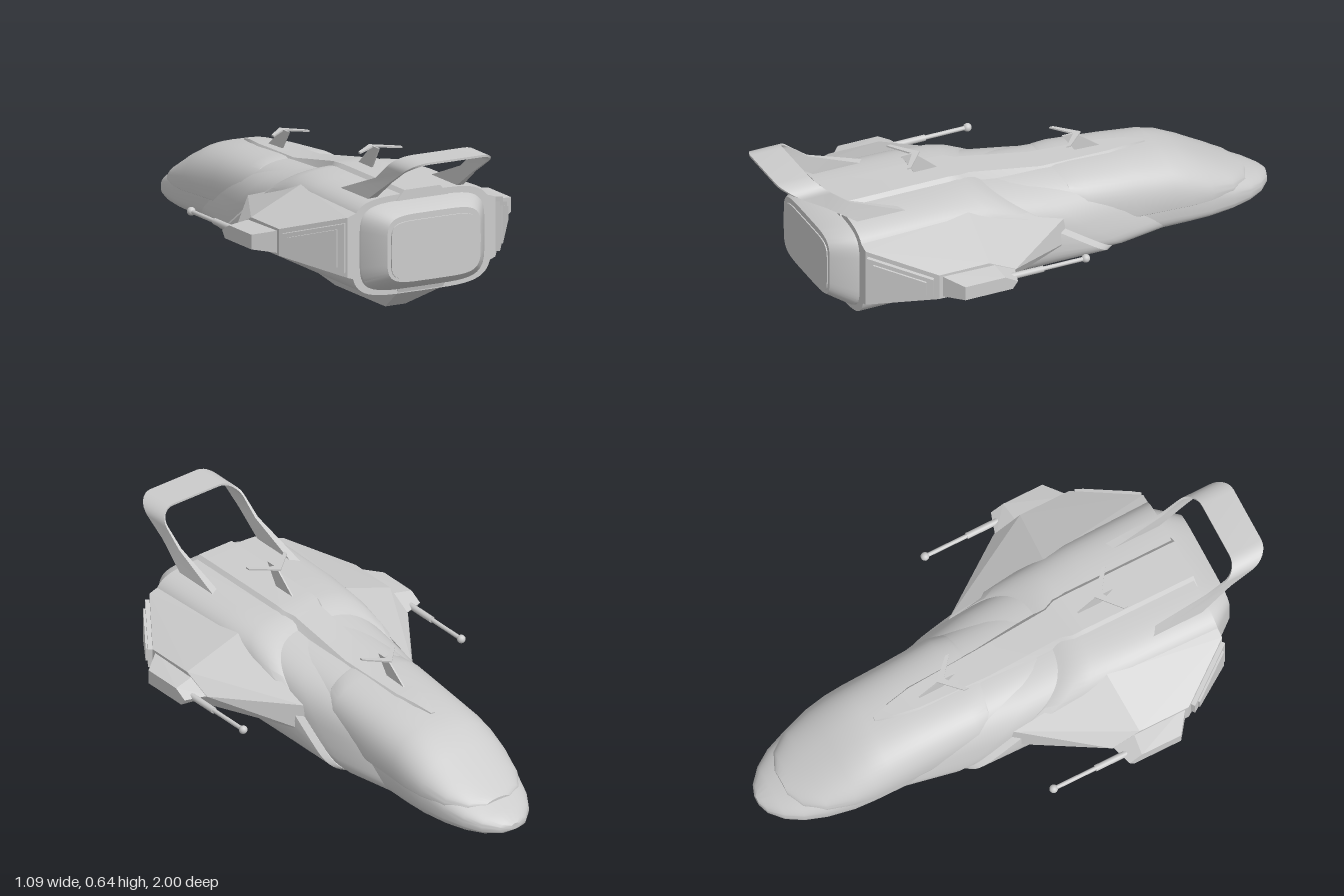
import * as THREE from 'three';
import { toCreasedNormals } from 'three/addons/utils/BufferGeometryUtils.js';
import { ConvexGeometry } from 'three/addons/geometries/ConvexGeometry.js';

const V = (x, y, z) => new THREE.Vector3(x, y, z);
const material = new THREE.MeshStandardMaterial({ color: 0xcccccc });

function add(parent, name, geometry) {
  const mesh = new THREE.Mesh(geometry, material);
  mesh.name = name;
  parent.add(mesh);
  return mesh;
}

// Skin a row of closed rings (counter-clockwise when seen from the far end) and cap both ends
function loft(rings, crease = 0.5) {
  const pos = [];
  const tri = (...pts) => pts.forEach((p) => pos.push(p.x, p.y, p.z));
  const centre = (r) => r.reduce((s, p) => s.add(p), V(0, 0, 0)).divideScalar(r.length);
  const n = rings[0].length, first = rings[0], last = rings[rings.length - 1];
  const c0 = centre(first), c1 = centre(last);
  for (let j = 0; j < n; j++) {
    const k = (j + 1) % n;
    for (let i = 0; i < rings.length - 1; i++) {
      const a = rings[i][j], b = rings[i][k], c = rings[i + 1][k], d = rings[i + 1][j];
      tri(a, b, c);
      tri(a, c, d);
    }
    tri(c0, first[k], first[j]);
    tri(c1, last[j], last[k]);
  }
  const g = new THREE.BufferGeometry();
  g.setAttribute('position', new THREE.Float32BufferAttribute(pos, 3));
  return toCreasedNormals(g, crease);
}

// Rounded section: half width, bottom, top, widest height, squareness above and below, sweep of z with height
function section([z, hw, yb, yt, yc, nu = 4, nl = 4, sweep = 0]) {
  const pts = [], N = 56;
  for (let i = 0; i < N; i++) {
    const a = (i / N) * Math.PI * 2, c = Math.cos(a), s = Math.sin(a);
    const e = 2 / (s >= 0 ? nu : nl);
    const x = hw * Math.sign(c) * Math.abs(c) ** e;
    const y = yc + (s >= 0 ? yt - yc : yb - yc) * Math.abs(s) ** e;
    pts.push(V(x, y, z + sweep * (y - yc)));
  }
  return pts;
}
const hull = (rows) => loft(rows.map(section));

// Trapezoid ring: z, bottom half width, top half width, bottom, top
const trapezoid = ([z, wb, wt, yb, yt]) => [V(-wb, yb, z), V(wb, yb, z), V(wt, yt, z), V(-wt, yt, z)];

// Round bar along z
function bar(parent, name, r, x, y, z0, z1) {
  const g = new THREE.CylinderGeometry(r, r, z1 - z0, 14).rotateX(Math.PI / 2);
  add(parent, name, g.translate(x, y, (z0 + z1) / 2));
}

// Raked strut carrying a thin swept crosspiece
function antenna(parent, y, z, height, half) {
  const g = new THREE.Group();
  g.name = 'antenna';
  const strut = [];
  for (const x of [-0.003, 0.003]) {
    strut.push(V(x, -0.03, -0.13), V(x, -0.03, -0.02), V(x, height, 0), V(x, height, 0.05));
  }
  add(g, 'antennaStrut', new ConvexGeometry(strut));
  for (const s of [-1, 1]) {
    const arm = [];
    for (const t of [height - 0.006, height]) {
      arm.push(V(0, t, -0.025), V(0, t, 0.005), V(s * half, t, 0.05), V(s * half, t, 0.066));
    }
    add(g, 'antennaArm', new ConvexGeometry(arm));
  }
  g.position.set(-0.008, y, z);
  parent.add(g);
}

// Wing, end pod, rear panels and gun for one side
function wing(parent, s) {
  const g = new THREE.Group();
  g.name = s > 0 ? 'leftWing' : 'rightWing';
  const solid = (name, pts) => add(g, name, new ConvexGeometry(pts.map(([x, y, z]) => V(s * x, y, z))));
  solid('wingBody', [
    [0.25, 0.425, 0.74], [0.25, 0.16, 0.74], [0.31, 0.405, 0.74], [0.31, 0.18, 0.74],
    [0.25, 0.425, 0.3], [0.25, 0.16, 0.1], [0.25, 0.3, -0.08], [0.25, 0.2, -0.1],
    [0.47, 0.335, 0.52], [0.47, 0.235, 0.52], [0.47, 0.335, 0.32], [0.47, 0.235, 0.27], [0.465, 0.28, 0.21],
  ]);
  solid('wingPod', [
    [0.45, 0.33, 0.52], [0.45, 0.24, 0.52], [0.45, 0.325, 0.3], [0.45, 0.24, 0.26], [0.45, 0.28, 0.21],
    [0.545, 0.308, 0.45], [0.545, 0.253, 0.45], [0.545, 0.308, 0.29], [0.545, 0.253, 0.26], [0.545, 0.28, 0.24],
  ]);
  // Stacked panels on the slanted trailing face; t runs from root to tip
  for (const [t0, t1, margin, out] of [[0.03, 0.93, 0.018, 0.016], [0.12, 0.84, 0.034, 0.024]]) {
    const pts = [];
    for (const t of [t0, t1]) {
      for (const d of [-0.01, out]) {
        const x = 0.31 + 0.16 * t + d * 0.81, z = 0.74 - 0.22 * t + d * 0.59;
        pts.push([x, 0.405 - 0.07 * t - margin, z], [x, 0.18 + 0.055 * t + margin, z]);
      }
    }
    solid('wingRearPanel', pts);
  }
  bar(g, 'gunBase', 0.012, s * 0.505, 0.28, 0.12, 0.3);
  bar(g, 'gunBarrel', 0.008, s * 0.505, 0.28, -0.05, 0.15);
  add(g, 'gunTip', new THREE.SphereGeometry(0.016, 16, 12).translate(s * 0.505, 0.28, -0.05));
  parent.add(g);
}

// Raked arch: a thin band whose front and back edges move with height
function tailArch(parent) {
  const half = [[0.183, 0.45, 0.016], [0.181, 0.475, 0.014], [0.177, 0.54, 0.006], [0.177, 0.595, 0.004]];
  for (let i = 1; i <= 8; i++) {
    const a = (i / 8) * Math.PI / 2;
    half.push([0.107 + 0.07 * Math.cos(a), 0.595 + 0.045 * Math.sin(a), 0.004]);
  }
  const path = [...half, ...half.slice().reverse().map(([x, y, t]) => [-x, y, t])];
  const edge = (y, a, b, c) => (y < 0.54
    ? THREE.MathUtils.mapLinear(y, 0.475, 0.54, a, b)
    : THREE.MathUtils.mapLinear(y, 0.54, 0.64, b, c));
  const rings = path.map(([x, y, t], i) => {
    const p = path[Math.max(i - 1, 0)], q = path[Math.min(i + 1, path.length - 1)];
    const n = V(q[1] - p[1], p[0] - q[0], 0).normalize().multiplyScalar(t);
    const zf = edge(y, 0.57, 0.74, 0.87), zb = edge(y, 0.74, 0.835, 1);
    return [V(x + n.x, y + n.y, zf), V(x - n.x, y - n.y, zf), V(x - n.x, y - n.y, zb), V(x + n.x, y + n.y, zb)];
  });
  add(parent, 'tailArch', loft(rings)).position.x = -0.009;
}

export function createModel() {
  const ship = new THREE.Group();
  ship.name = 'spaceship';

  // Nose and forward fuselage
  add(ship, 'fuselage', hull([
    [-1, 0.02, 0.122, 0.146, 0.132, 2], [-0.985, 0.06, 0.112, 0.157, 0.134, 2],
    [-0.94, 0.11, 0.103, 0.18, 0.14, 2.1], [-0.88, 0.148, 0.098, 0.206, 0.15, 2.2],
    [-0.8, 0.177, 0.095, 0.246, 0.16, 2.3], [-0.7, 0.198, 0.095, 0.306, 0.17, 2.4],
    [-0.62, 0.204, 0.095, 0.348, 0.18, 2.5], [-0.55, 0.206, 0.095, 0.37, 0.19, 2.6],
    [-0.4, 0.208, 0.095, 0.387, 0.2, 2.8], [-0.2, 0.215, 0.095, 0.4, 0.22, 3], [0.15, 0.22, 0.1, 0.43, 0.25, 3],
  ]));
  // Cockpit shell with a lip over the fuselage
  add(ship, 'canopy', hull([
    [-0.9, 0.055, 0.185, 0.207, 0.19, 2, 6], [-0.87, 0.118, 0.183, 0.224, 0.19, 2, 6],
    [-0.8, 0.17, 0.185, 0.26, 0.192, 2.2, 6], [-0.7, 0.2, 0.187, 0.318, 0.195, 2.4, 6],
    [-0.62, 0.211, 0.19, 0.358, 0.2, 2.5, 6], [-0.55, 0.213, 0.195, 0.378, 0.205, 2.6, 6],
    [-0.4, 0.213, 0.2, 0.395, 0.212, 2.8, 6], [-0.2, 0.216, 0.21, 0.408, 0.24, 3, 4],
    [-0.14, 0.2, 0.23, 0.41, 0.26, 3, 2], [-0.11, 0.16, 0.25, 0.406, 0.28, 3, 2],
  ]));
  // Swept armour bands widening towards the stern
  add(ship, 'middleHull', hull([
    [-0.43, 0.207, 0.097, 0.385, 0.2, 3, 4, 1.2], [-0.23, 0.248, 0.095, 0.412, 0.2, 3.2, 4, 1.2],
    [0, 0.257, 0.095, 0.446, 0.23, 3.3, 4, 1.1], [0.33, 0.26, 0.1, 0.462, 0.26, 3.5, 4, 0.3],
  ]));
  add(ship, 'rearHull', hull([
    [-0.17, 0.252, 0.097, 0.448, 0.2, 3.5, 4, 1.45], [-0.14, 0.272, 0.094, 0.462, 0.2, 3.8, 4, 1.45],
    [0.05, 0.28, 0.094, 0.466, 0.24, 4, 4.2, 1], [0.35, 0.289, 0.094, 0.466, 0.28, 4.2, 4.5, 0.3],
    [0.74, 0.293, 0.094, 0.466, 0.28, 4.5, 4.5, 0],
  ]));
  add(ship, 'stern', hull([
    [0.73, 0.262, 0.112, 0.444, 0.28, 5, 5], [0.75, 0.258, 0.114, 0.442, 0.28, 5, 5],
    [0.825, 0.2, 0.155, 0.415, 0.285, 5, 5], [0.83, 0.196, 0.158, 0.412, 0.285, 5, 5],
  ]));
  add(ship, 'sternPlate', hull([
    [0.82, 0.182, 0.17, 0.39, 0.28, 6, 6], [0.834, 0.18, 0.172, 0.388, 0.28, 6, 6],
  ]));

  // Ridge along the back and keel below
  add(ship, 'dorsalRidge', loft([
    [-0.52, 0.012, 0.008, 0.36, 0.386], [-0.45, 0.04, 0.025, 0.37, 0.399], [-0.36, 0.06, 0.042, 0.38, 0.405],
    [-0.08, 0.08, 0.055, 0.38, 0.416], [0.21, 0.09, 0.06, 0.42, 0.468], [0.25, 0.11, 0.075, 0.43, 0.476],
    [0.3, 0.11, 0.075, 0.44, 0.48], [0.745, 0.11, 0.075, 0.44, 0.48],
  ].map(trapezoid)));
  const keel = [];
  for (const s of [-1, 1]) {
    keel.push(V(s * 0.1, 0.115, 0.745), V(s * 0.095, 0.098, 0.74), V(s * 0.042, 0, 0.56),
      V(s * 0.042, 0, 0.2), V(s * 0.08, 0.088, -0.2), V(s * 0.1, 0.115, -0.22));
  }
  add(ship, 'keel', new ConvexGeometry(keel)).position.x = -0.005;
  bar(ship, 'keelGunBarrel', 0.013, -0.005, 0.06, -0.6, 0.1);
  bar(ship, 'keelGunMuzzle', 0.017, -0.005, 0.06, -0.72, -0.59);

  antenna(ship, 0.478, 0.4, 0.083, 0.088);
  antenna(ship, 0.41, -0.245, 0.07, 0.075);
  tailArch(ship);
  for (const s of [1, -1]) wing(ship, s);
  return ship;
}
